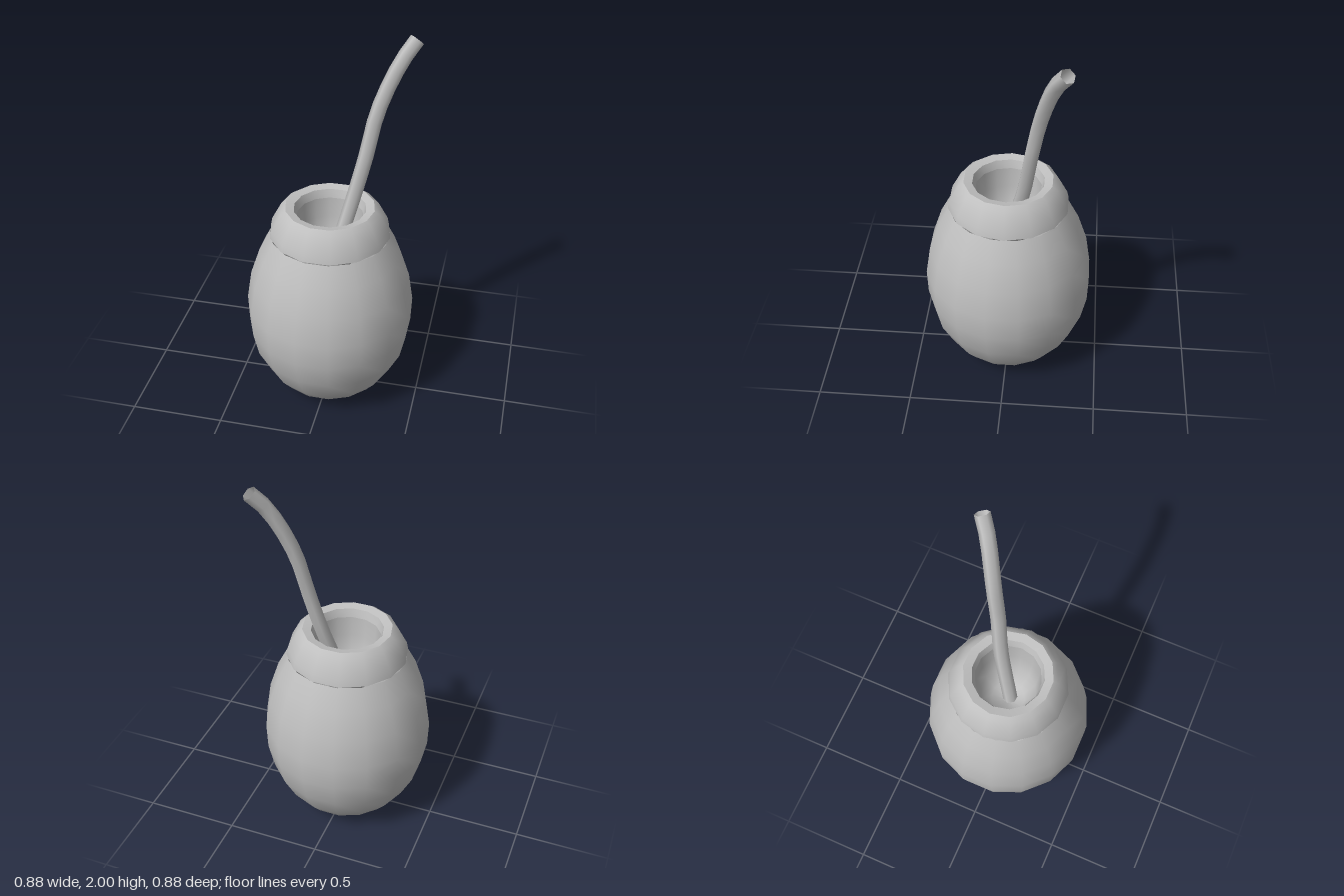
import * as THREE from 'three';
import { toCreasedNormals } from 'three/addons/utils/BufferGeometryUtils.js';

export function createModel() {
  const group = new THREE.Group();
  const grey = new THREE.MeshStandardMaterial({ color: 0xbfbfbf, side: THREE.DoubleSide });
  grey.name = 'plain grey';

  const add = (name, geometry) => {
    const mesh = new THREE.Mesh(geometry, grey);
    mesh.name = name;
    group.add(mesh);
    return mesh;
  };
  const lathe = (points, sides, start = 0) =>
    new THREE.LatheGeometry(points.map(([r, y]) => new THREE.Vector2(r, y)), sides, start);

  // Egg-shaped gourd, with a low-poly outline and smooth shading
  add('gourdBody', lathe([
    [0, 0], [0.12, 0.012], [0.29, 0.075], [0.35, 0.15], [0.415, 0.28], [0.445, 0.42],
    [0.45, 0.56], [0.425, 0.72], [0.375, 0.87], [0.315, 0.985],
  ], 16, Math.PI / 16));

  // Sloping collar with a rounded lip
  add('collar', toCreasedNormals(lathe([
    [0.3, 0.985], [0.32, 0.992], [0.312, 1.03], [0.262, 1.125], [0.235, 1.145],
    [0.19, 1.135], [0.175, 1.09],
  ], 14, Math.PI / 14), 0.7));

  // Hollow inside, narrowing to a bowl
  add('cavity', lathe([
    [0.175, 1.09], [0.168, 0.98], [0.15, 0.86], [0.09, 0.77], [0, 0.74],
  ], 14, Math.PI / 14));

  // Bent six-sided drinking straw, open at its tip
  const path = new THREE.CatmullRomCurve3([
    [0.005, 0.77, 0.01], [0.1, 1.14, -0.085], [0.162, 1.4, -0.125], [0.2, 1.6, -0.16],
    [0.25, 1.75, -0.195], [0.315, 1.89, -0.24], [0.372, 1.975, -0.29],
  ].map((p) => new THREE.Vector3(...p)));
  add('straw', new THREE.TubeGeometry(path, 14, 0.039, 6, false));

  // Cap on the lower end of the straw
  const cap = add('strawEnd', new THREE.CircleGeometry(0.039, 6));
  cap.position.copy(path.getPoint(0));
  cap.lookAt(path.getPoint(0).sub(path.getTangent(0)));

  return group;
}
